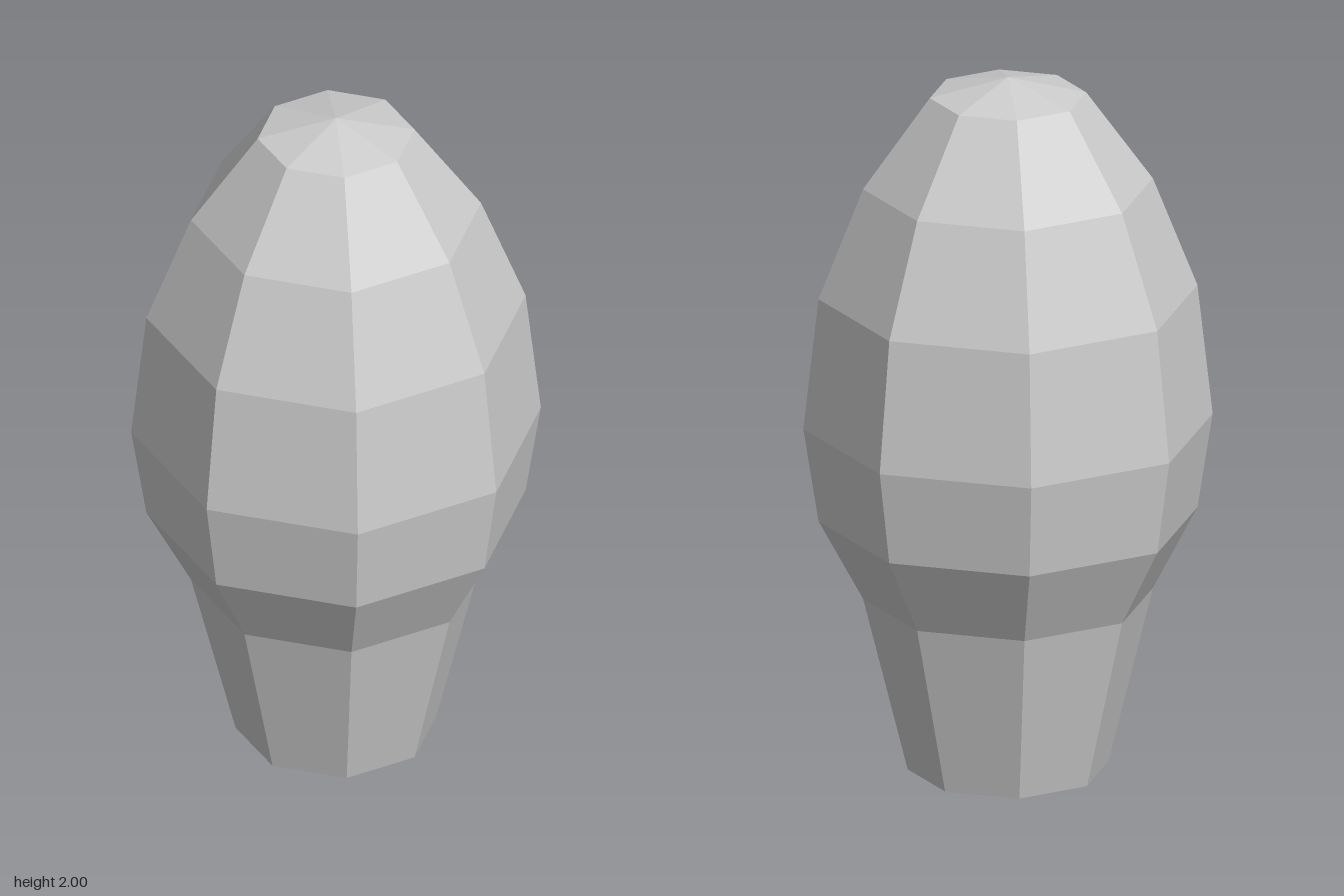
import * as THREE from 'three';

const SIDES = 8;

// Faceted surface of revolution from [radius, height] pairs, bottom to top
function turned(name, profile, material) {
  const points = profile.map(([r, y]) => new THREE.Vector2(r, y));
  const mesh = new THREE.Mesh(new THREE.LatheGeometry(points, SIDES), material);
  mesh.name = name;
  return mesh;
}

export function createModel() {
  const model = new THREE.Group();
  model.name = 'bulb';
  const material = new THREE.MeshStandardMaterial({
    color: 0xcccccc, flatShading: true, side: THREE.DoubleSide,
  });

  // Tapered neck, open at the bottom
  model.add(turned('neck', [[0.277, 0], [0.4, 0.5]], material));

  // Swelling body, narrowing towards the top
  model.add(turned('body', [
    [0.4, 0.5], [0.523, 0.73], [0.565, 1], [0.523, 1.375], [0.4, 1.69], [0.216, 1.947],
  ], material));

  // Shallow pointed cap
  model.add(turned('cap', [[0.216, 1.947], [0, 2]], material));

  return model;
}
